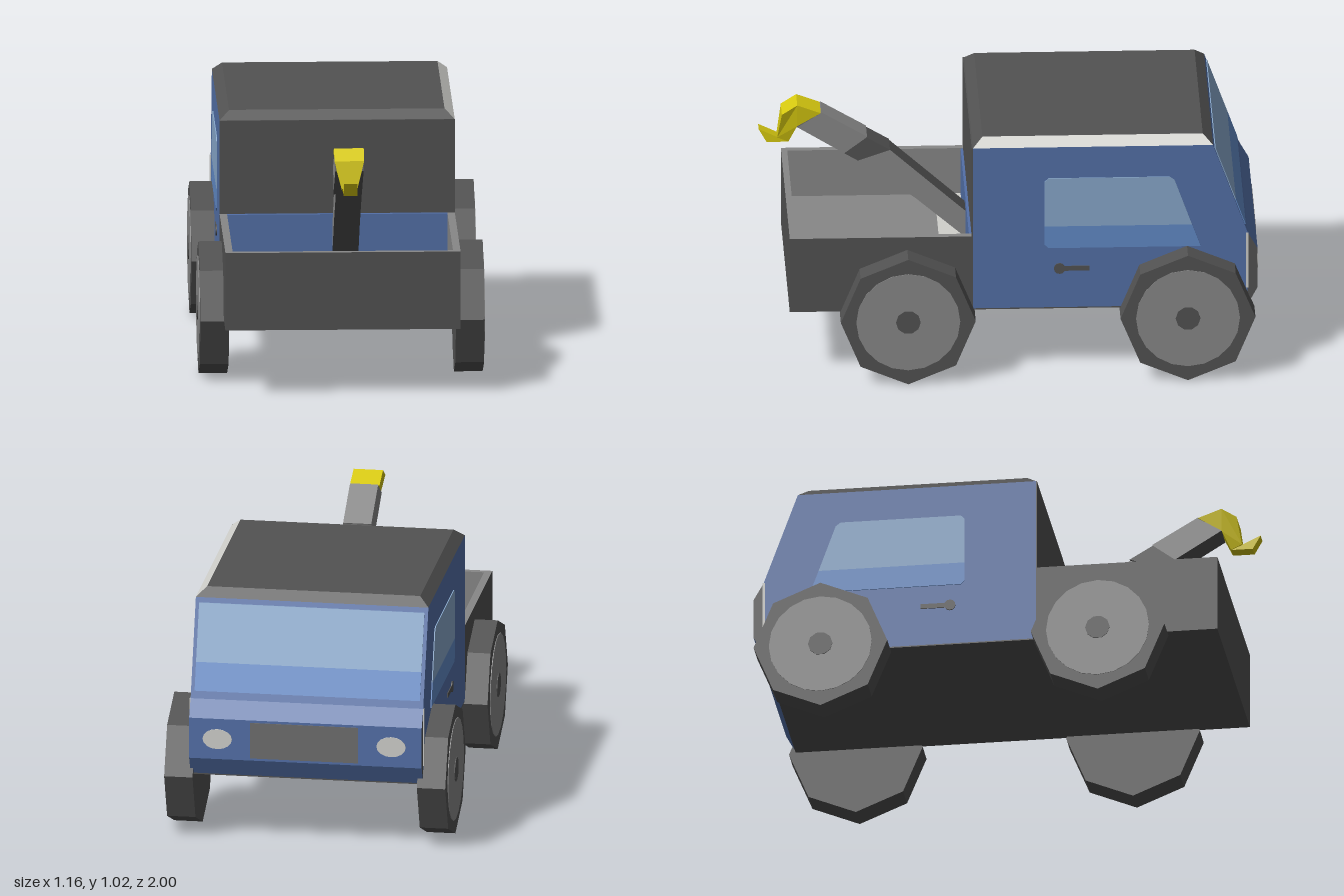
import * as THREE from 'three';

const paint = (name, color) => {
  const m = new THREE.MeshStandardMaterial({ color });
  m.name = name;
  return m;
};

export function createModel() {
  const dark = paint('dark grey', 0x525252);
  const grey = paint('mid grey', 0x888888);
  const blue = paint('body blue', 0x5370a8);
  const glassLight = paint('light glass', 0x88a8cc);
  const glassDeep = paint('deep glass', 0x628bc8);
  const yellow = paint('hook yellow', 0xd8ca10);
  const light = paint('light grey', 0xd0d0cc);
  const grilleGrey = paint('grille grey', 0x6e6e6e);

  const truck = new THREE.Group();
  truck.name = 'towTruck';
  const add = (name, geo, mat, parent = truck) => {
    const mesh = new THREE.Mesh(geo, mat);
    mesh.name = name;
    parent.add(mesh);
    return mesh;
  };
  // Side profile given as [z, y] points, extruded from x0 to x1
  const slab = (pts, x0, x1) => {
    const shape = new THREE.Shape(pts.map(([z, y]) => new THREE.Vector2(z, y)));
    return new THREE.ExtrudeGeometry(shape, { depth: x1 - x0, bevelEnabled: false })
      .rotateY(-Math.PI / 2).translate(x1, 0, 0);
  };
  // Box given by its limits
  const block = (x0, x1, y0, y1, z0, z1) =>
    new THREE.BoxGeometry(x1 - x0, y1 - y0, z1 - z0)
      .translate((x0 + x1) / 2, (y0 + y1) / 2, (z0 + z1) / 2);
  // Move the vertices by a rule and refresh the flat normals
  const reshape = (geo, rule) => {
    const p = geo.attributes.position, v = new THREE.Vector3();
    for (let i = 0; i < p.count; i++) {
      rule(v.fromBufferAttribute(p, i));
      p.setXYZ(i, v.x, v.y, v.z);
    }
    geo.computeVertexNormals();
    return geo;
  };
  const L = -0.48, R = 0.47; // body sides

  // Cab shell
  add('cab', slab([[0.15, 0.285], [0.15, 0.985], [-0.82, 0.985], [-0.96, 0.6], [-0.96, 0.285]], L, R), blue);
  add('cabBack', block(L, R, 0.6, 0.985, 0.15, 0.155), dark);
  add('nose', slab([[-0.96, 0.6], [-1, 0.53], [-1, 0.36], [-0.96, 0.285]], L, R), [dark, blue]);
  add('underside', block(L, R, 0.28, 0.286, -0.96, 0.89), dark);

  // Roof with sloping edges, one of them light
  const roof = reshape(block(L, R, 0.985, 1.02, -0.82, 0.15), v => {
    if (v.y > 1) {
      v.x -= Math.sign(v.x) * 0.04;
      v.z += v.z > 0 ? -0.04 : 0.04;
    }
  });
  add('roof', roof, [light, dark, dark, dark, dark, dark]);

  // Windscreen in two tones, lying on the slope of the cab
  const slopeZ = y => -0.82 - (0.985 - y) * 0.14 / 0.385;
  const screen = (y0, y1) => slab([
    [slopeZ(y0), y0], [slopeZ(y1), y1], [slopeZ(y1) - 0.004, y1], [slopeZ(y0) - 0.004, y0],
  ], -0.465, 0.455);
  add('windscreenUpper', screen(0.74, 0.965), glassLight);
  add('windscreenLower', screen(0.63, 0.74), glassDeep);

  // Grille and headlamps
  add('grille', block(-0.22, 0.22, 0.37, 0.52, -1.003, -0.999), grilleGrey);
  for (const x of [-0.355, 0.355]) {
    const lamp = new THREE.CylinderGeometry(1, 1, 0.005, 16).rotateX(Math.PI / 2).scale(0.06, 0.042, 1);
    add('headlamp', lamp.translate(x, 0.445, -1.001), light);
  }

  // Door windows, handles and nose trim on both sides
  for (const [x0, x1] of [[L - 0.004, L], [R, R + 0.004]]) {
    add('doorWindowUpper', slab([[-0.14, 0.64], [-0.14, 0.835], [-0.155, 0.85], [-0.645, 0.85],
      [-0.665, 0.835], [-0.735, 0.64]], x0, x1), glassLight);
    add('doorWindowLower', slab([[-0.14, 0.56], [-0.14, 0.64], [-0.735, 0.64], [-0.77, 0.545],
      [-0.155, 0.545]], x0, x1), glassDeep);
    add('handleKnob', new THREE.CylinderGeometry(0.023, 0.023, 0.006, 12).rotateZ(Math.PI / 2)
      .translate((x0 + x1) / 2, 0.455, -0.2), dark);
    add('handleBar', block(x0, x1, 0.445, 0.465, -0.32, -0.21), dark);
    add('noseTrim', block(x0, x1, 0.36, 0.6, -0.963, -0.953), light);
  }

  // Open load bed, dark outside and grey inside
  add('bedFloor', block(L, R, 0.285, 0.4, 0.15, 0.89), [dark, dark, grey, dark, dark, dark]);
  add('bedLeftWall', block(R - 0.03, R, 0.4, 0.6, 0.15, 0.87), [dark, grey, grey, grey, grey, grey]);
  add('bedRightWall', block(L, L + 0.03, 0.4, 0.6, 0.15, 0.87), [grey, dark, grey, grey, grey, grey]);
  add('bedEndWall', block(L, R, 0.4, 0.6, 0.865, 0.89), [dark, dark, grey, grey, dark, grey]);
  add('bedCabWall', block(L + 0.03, R - 0.03, 0.4, 0.598, 0.15, 0.165), blue);
  add('floorStrip', block(L + 0.03, 0.23, 0.4, 0.404, 0.165, 0.27), light);

  // Crane arm
  add('lowerArm', slab([[0.15, 0.42], [0.15, 0.535], [0.235, 0.61], [0.47, 0.82], [0.6, 0.775], [0.37, 0.61]],
    -0.025, 0.08), [grey, dark]);
  add('armElbow', slab([[0.47, 0.82], [0.565, 0.876], [0.655, 0.808], [0.6, 0.775]], -0.035, 0.08), dark);
  add('upperArm', slab([[0.565, 0.876], [0.75, 0.985], [0.845, 0.925], [0.655, 0.808]], -0.035, 0.08), [grey, dark]);
  add('upperArmTop', slab([[0.565, 0.876], [0.75, 0.985], [0.748, 0.989], [0.563, 0.88]], -0.035, 0.08), grey);

  // Hook head narrowing downwards, with a small upturned tip
  const head = slab([[0.75, 0.985], [0.845, 1.02], [0.907, 0.98], [0.925, 0.87], [0.88, 0.85], [0.845, 0.925]],
    -0.04, 0.08);
  add('hookHead', reshape(head, v => {
    const t = THREE.MathUtils.clamp((0.96 - v.y) / 0.1, 0, 1);
    v.x = 0.021 + (v.x - 0.021) * (1 - 0.52 * t);
  }), yellow);
  add('hookTip', slab([[0.88, 0.85], [0.922, 0.87], [1, 0.907], [0.968, 0.85]], -0.005, 0.05), yellow);

  // Eight-sided wheels with hub discs
  const disc = (r, w, sides) => {
    const g = new THREE.CylinderGeometry(r, r, w, sides).rotateZ(Math.PI / 2).toNonIndexed();
    g.computeVertexNormals();
    return g;
  };
  for (const side of [-1, 1]) {
    for (const z of [0.415, -0.715]) {
      const wheel = new THREE.Group();
      wheel.name = 'wheel';
      wheel.position.set(side * 0.516, 0.2725, z);
      add('tyre', disc(0.2725, 0.116, 8), dark, wheel);
      add('hub', disc(0.21, 0.004, 20), grey, wheel).position.x = side * 0.059;
      add('hubCap', disc(0.05, 0.004, 10), dark, wheel).position.x = side * 0.062;
      truck.add(wheel);
    }
  }
  return truck;
}
